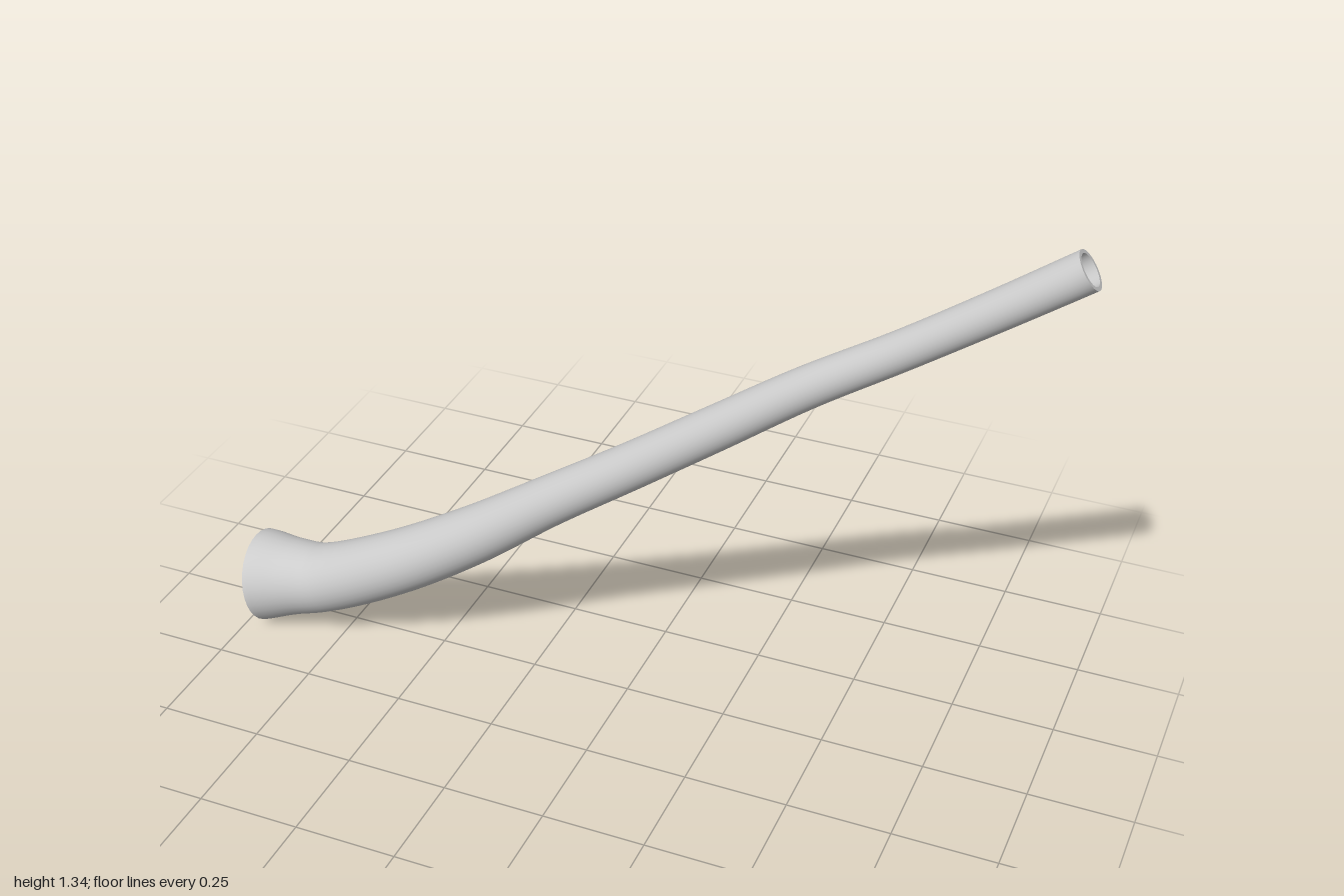
import * as THREE from 'three';

// Stations along the pipe: centre x, y, z, outer radius, bore radius
const STATIONS = [
  [-0.971, 0.116, 0.056, 0.116, 0.094],
  [-0.885, 0.131, 0.053, 0.098, 0.078],
  [-0.8, 0.149, 0.05, 0.087, 0.069],
  [-0.6, 0.245, 0.042, 0.08, 0.063],
  [-0.4, 0.365, 0.022, 0.072, 0.056],
  [-0.2, 0.505, 0, 0.061, 0.048],
  [0, 0.64, -0.023, 0.056, 0.044],
  [0.2, 0.78, -0.045, 0.053, 0.041],
  [0.4, 0.92, -0.068, 0.049, 0.038],
  [0.6, 1.046, -0.089, 0.046, 0.037],
  [0.8, 1.18, -0.109, 0.046, 0.037],
  [0.974, 1.3, -0.128, 0.047, 0.038],
];
const SIDES = 32;
const STEPS = 66;

const path = new THREE.CatmullRomCurve3(STATIONS.map(([x, y, z]) => new THREE.Vector3(x, y, z)));
const radii = new THREE.SplineCurve(STATIONS.map((s) => new THREE.Vector2(s[3], s[4])));

// Skins a run of [t, radius] rings set square to the path
function skin(name, rings, material) {
  const positions = [];
  const indices = [];
  rings.forEach(([t, radius], i) => {
    const centre = path.getPoint(t);
    const tangent = path.getTangent(t);
    const u = new THREE.Vector3(0, 0, 1).addScaledVector(tangent, -tangent.z).normalize();
    const v = new THREE.Vector3().crossVectors(tangent, u);
    for (let j = 0; j < SIDES; j++) {
      const a = (j / SIDES) * Math.PI * 2;
      const p = centre.clone()
        .addScaledVector(u, radius * Math.cos(a))
        .addScaledVector(v, radius * Math.sin(a));
      positions.push(p.x, p.y, p.z);
      if (i === rings.length - 1) continue;
      const p0 = i * SIDES + j;
      const p1 = i * SIDES + ((j + 1) % SIDES);
      indices.push(p0, p1, p0 + SIDES, p1, p1 + SIDES, p0 + SIDES);
    }
  });
  const geometry = new THREE.BufferGeometry();
  geometry.setAttribute('position', new THREE.Float32BufferAttribute(positions, 3));
  geometry.setIndex(indices);
  geometry.computeVertexNormals();
  const mesh = new THREE.Mesh(geometry, material);
  mesh.name = name;
  return mesh;
}

export function createModel() {
  const group = new THREE.Group();
  group.name = 'flaredWindPipe';
  const material = new THREE.MeshStandardMaterial({ color: 0xcccccc });

  const outer = [];
  const bore = [];
  for (let i = 0; i <= STEPS; i++) {
    const t = i / STEPS;
    const r = radii.getPoint(t);
    outer.push([t, r.x]);
    bore.unshift([t, r.y]);
  }

  // Outer wall, mouth rim, bore and bell rim close into one hollow pipe
  group.add(
    skin('outerWall', outer, material),
    skin('mouthRim', [outer[STEPS], bore[0]], material),
    skin('bore', bore, material),
    skin('bellRim', [bore[STEPS], outer[0]], material),
  );
  return group;
}
